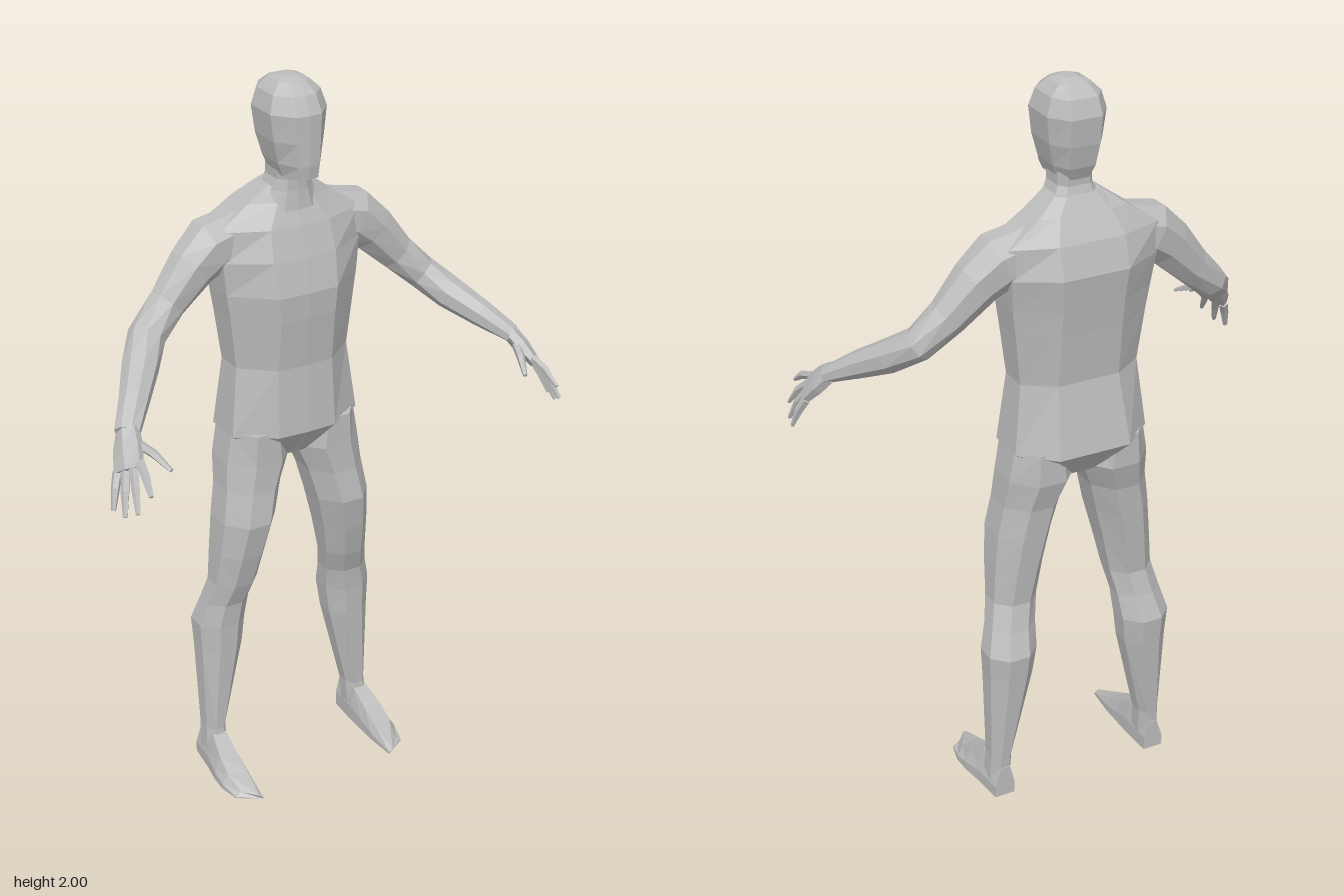
import * as THREE from 'three';

const skin = new THREE.MeshStandardMaterial({ color: 0xbcbcbc, flatShading: true });
skin.name = 'plain grey';

// Closed skin over rings of equal point count, capped at both ends and always facing outwards
function loft(name, rings, mirror = 1) {
  const n = rings[0].length, pos = [], tris = [];
  const P = rings.map(r => r.map(p => new THREE.Vector3(p[0] * mirror, p[1], p[2])));
  for (let i = 0; i < P.length - 1; i++) {
    for (let j = 0; j < n; j++) {
      const k = (j + 1) % n, a = P[i][j], b = P[i][k], c = P[i + 1][k], d = P[i + 1][j];
      tris.push([a, b, c], [a, c, d]);
    }
  }
  const last = P[P.length - 1];
  for (let j = 1; j < n - 1; j++) {
    tris.push([P[0][0], P[0][j + 1], P[0][j]], [last[0], last[j], last[j + 1]]);
  }
  let volume = 0;
  const cross = new THREE.Vector3();
  for (const [a, b, c] of tris) volume += a.dot(cross.crossVectors(b, c));
  for (const [a, b, c] of tris) {
    for (const p of volume < 0 ? [a, c, b] : [a, b, c]) pos.push(p.x, p.y, p.z);
  }
  const g = new THREE.BufferGeometry();
  g.setAttribute('position', new THREE.Float32BufferAttribute(pos, 3));
  g.computeVertexNormals();
  const mesh = new THREE.Mesh(g, skin);
  mesh.name = name;
  return mesh;
}

// Level, symmetric section: front half width and z, side half width and z range, back half width and z
function section([y, f, zf, w, s1, s2, b, zb]) {
  const half = [[f, zf - 0.004], [w, s1], [w, s2], [b, zb]];
  return [[0, y, zf], ...half.map(([x, z]) => [x, y, z]), ...half.reverse().map(([x, z]) => [-x, y, z])];
}

// Level eight-sided section filling a box in x and z
function octagon([y, x0, x1, zf, zb]) {
  const ring = [];
  for (let i = 0; i < 8; i++) {
    const a = (i + 0.5) * Math.PI / 4, s = 0.5 / Math.cos(Math.PI / 8);
    ring.push([(x0 + x1) / 2 + Math.cos(a) * s * (x1 - x0), y, (zf + zb) / 2 + Math.sin(a) * s * (zf - zb)]);
  }
  return ring;
}

// Sections across a path of [x, y, z, thickness radius, width radius]
function along(path, sides, across) {
  const pts = path.map(p => new THREE.Vector3(p[0], p[1], p[2]));
  return path.map((p, i) => {
    const t = pts[Math.min(i + 1, pts.length - 1)].clone().sub(pts[Math.max(i - 1, 0)]).normalize();
    const h = across ? across.clone() : new THREE.Vector3().crossVectors(t, new THREE.Vector3(0, 1, 0));
    h.addScaledVector(t, -h.dot(t)).normalize();
    const v = new THREE.Vector3().crossVectors(h, t);
    return Array.from({ length: sides }, (_, j) => {
      const a = (j + 0.5) * 2 * Math.PI / sides;
      return pts[i].clone().addScaledVector(h, Math.cos(a) * p[4] * 1.05)
        .addScaledVector(v, Math.sin(a) * p[3] * 1.05).toArray();
    });
  });
}

// Foot section: inner and outer z, inner and outer x, height
function footRing([zi, zo, xi, xo, h]) {
  return [[xi, 0, zi], [xo, 0, zo], [xo, h * 0.35, zo], [xo - 0.018, h, zo], [xi + 0.012, h, zi], [xi, h * 0.45, zi]];
}

function buildArm(m) {
  const arm = new THREE.Group();
  arm.name = m > 0 ? 'leftArm' : 'rightArm';
  arm.add(loft('armLimb', along([
    [0.13, 1.595, -0.145, 0.07, 0.06],
    [0.21, 1.575, -0.145, 0.075, 0.065],
    [0.265, 1.53, -0.14, 0.064, 0.056],
    [0.34, 1.45, -0.132, 0.05, 0.045],
    [0.41, 1.383, -0.112, 0.042, 0.048],
    [0.46, 1.335, -0.05, 0.042, 0.046],
    [0.515, 1.29, 0.025, 0.034, 0.038],
    [0.57, 1.245, 0.095, 0.021, 0.032],
  ], 8), m));

  // Palm, spread from the little finger to the index finger
  const across = new THREE.Vector3(-0.05, 0.04, 0.07);
  arm.add(loft('palm', along([
    [0.565, 1.25, 0.088, 0.021, 0.03],
    [0.582, 1.218, 0.122, 0.021, 0.042],
    [0.602, 1.178, 0.162, 0.014, 0.045],
  ], 6, across), m));

  // Fingers from knuckle to tip, thumb last
  const digits = [
    [[0.58, 1.203, 0.182], [0.595, 1.155, 0.27]],
    [[0.593, 1.188, 0.172], [0.622, 1.105, 0.25]],
    [[0.607, 1.174, 0.154], [0.638, 1.082, 0.21]],
    [[0.618, 1.166, 0.132], [0.648, 1.082, 0.165]],
    [[0.562, 1.228, 0.125], [0.52, 1.188, 0.23]],
  ];
  digits.forEach(([a, b], i) => {
    const mid = a.map((v, k) => (v + b[k]) / 2 + (k === 1 ? 0.008 : 0));
    arm.add(loft(i < 4 ? 'finger' : 'thumb', along([
      [...a, 0.012, 0.012], [...mid, 0.011, 0.011], [...b, 0.005, 0.006],
    ], 5), m));
  });
  return arm;
}

function buildLeg(m) {
  const leg = new THREE.Group();
  leg.name = m > 0 ? 'leftLeg' : 'rightLeg';
  leg.add(loft('legLimb', [
    [1.06, 0.03, 0.185, -0.03, -0.24],
    [0.97, 0.012, 0.2, -0.03, -0.24],
    [0.89, 0.045, 0.207, -0.027, -0.217],
    [0.8, 0.068, 0.222, -0.015, -0.21],
    [0.7, 0.092, 0.23, -0.035, -0.2],
    [0.6, 0.112, 0.236, -0.062, -0.19],
    [0.53, 0.126, 0.252, -0.09, -0.208],
    [0.46, 0.132, 0.27, -0.097, -0.235],
    [0.38, 0.142, 0.266, -0.1, -0.226],
    [0.12, 0.2, 0.26, -0.11, -0.2],
    [0.04, 0.203, 0.264, -0.1, -0.195],
  ].map(octagon), m));
  leg.add(loft('foot', [
    [-0.2, -0.2, 0.205, 0.262, 0.09],
    [-0.11, -0.11, 0.2, 0.272, 0.105],
    [-0.05, -0.05, 0.2, 0.282, 0.072],
    [0.01, 0, 0.2, 0.284, 0.045],
    [0.095, 0.055, 0.207, 0.272, 0.014],
  ].map(footRing), m));
  return leg;
}

export function createModel() {
  const model = new THREE.Group();
  model.name = 'standingFigure';

  // Trunk from crotch to base of neck
  model.add(loft('torso', [
    [0.965, 0.03, -0.07, 0.06, -0.1, -0.16, 0.04, -0.2],
    [1.05, 0.085, -0.01, 0.188, -0.08, -0.19, 0.1, -0.268],
    [1.24, 0.08, -0.02, 0.166, -0.095, -0.175, 0.085, -0.228],
    [1.38, 0.08, -0.004, 0.182, -0.09, -0.185, 0.085, -0.243],
    [1.45, 0.085, 0, 0.192, -0.09, -0.19, 0.085, -0.252],
    [1.54, 0.09, -0.02, 0.2, -0.09, -0.205, 0.09, -0.265],
    [1.62, 0.085, -0.045, 0.205, -0.1, -0.2, 0.09, -0.24],
    [1.68, 0.05, -0.07, 0.12, -0.105, -0.19, 0.07, -0.205],
    [1.72, 0.03, -0.08, 0.065, -0.1, -0.165, 0.04, -0.18],
  ].map(section)));

  model.add(loft('neck', [
    [1.66, 0.04, -0.055, 0.085, -0.095, -0.18, 0.05, -0.21],
    [1.71, 0.03, -0.06, 0.06, -0.09, -0.155, 0.04, -0.178],
    [1.74, 0.025, -0.06, 0.047, -0.085, -0.145, 0.03, -0.168],
    [1.79, 0.025, -0.05, 0.047, -0.08, -0.145, 0.03, -0.17],
  ].map(section)));

  // Smooth-faced head with flat front and rounded crown
  const head = [
    [1.755, 0.028, -0.004, 0.044, -0.06, -0.13, 0.025, -0.168],
    [1.79, 0.03, 0, 0.057, -0.06, -0.14, 0.035, -0.185],
    [1.85, 0.033, 0, 0.072, -0.055, -0.15, 0.04, -0.199],
    [1.92, 0.036, 0, 0.08, -0.055, -0.155, 0.042, -0.206],
    [1.965, 0.032, -0.022, 0.067, -0.065, -0.15, 0.038, -0.19],
    [1.99, 0.022, -0.055, 0.042, -0.08, -0.14, 0.025, -0.16],
    [2.0, 0.01, -0.085, 0.018, -0.095, -0.12, 0.01, -0.13],
  ].map(section);
  model.add(loft('head', head));

  for (const m of [1, -1]) model.add(buildArm(m), buildLeg(m));
  return model;
}
